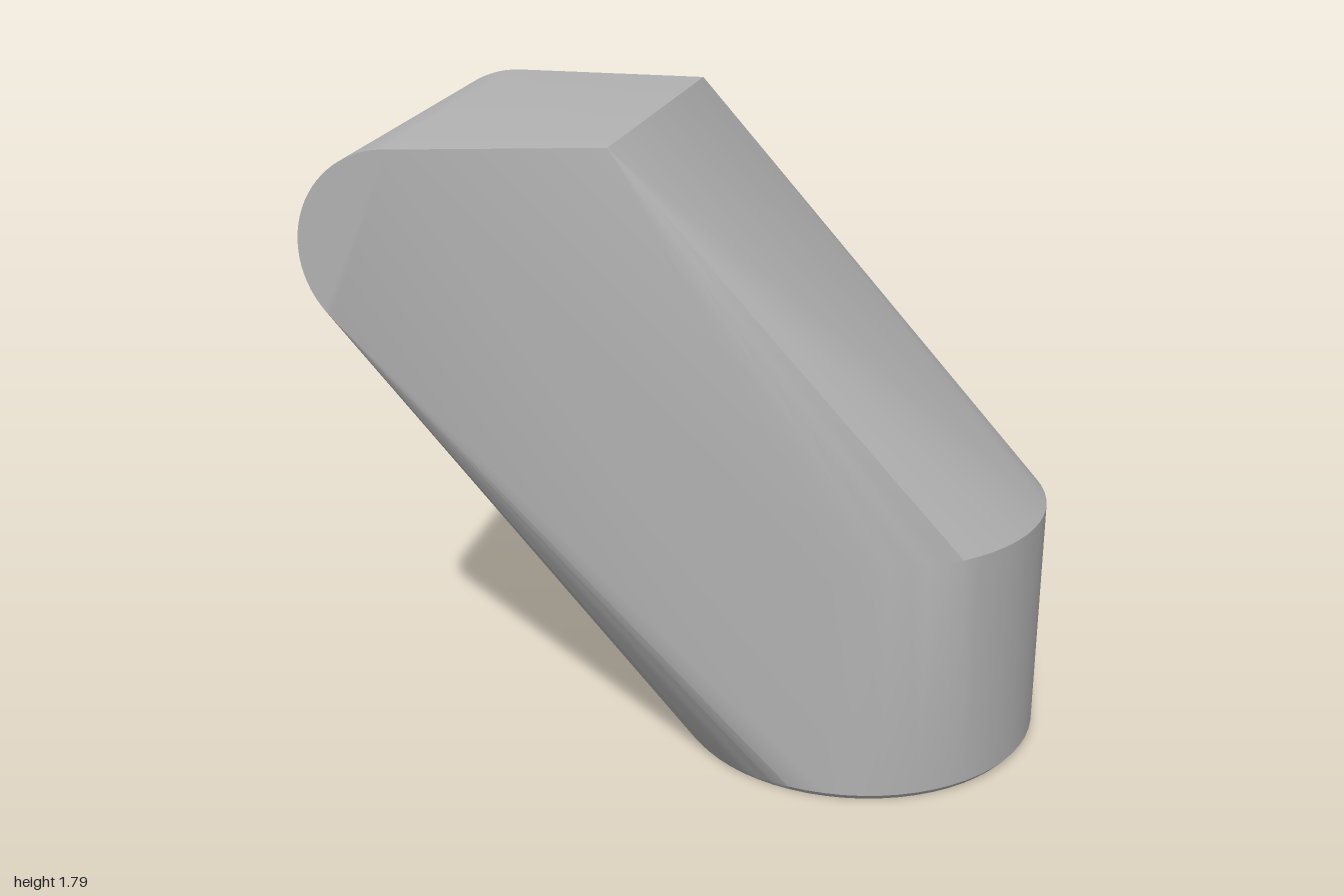
import * as THREE from 'three';
import { toCreasedNormals } from 'three/addons/utils/BufferGeometryUtils.js';
import { ConvexGeometry } from 'three/addons/geometries/ConvexGeometry.js';

const points = [];

// Horizontal ring around the upright foot
function footRing(y, r, n = 64) {
  for (let i = 0; i < n; i++) {
    const a = (i / n) * Math.PI * 2;
    points.push(new THREE.Vector3(0.47 + r * Math.cos(a), y, -0.005 + r * Math.sin(a)));
  }
}

// Arc of the rounded head, from its top round to its underside
function headArc(z, r, n = 28) {
  for (let i = 0; i <= n; i++) {
    const a = Math.PI * (0.5 + (0.75 * i) / n);
    points.push(new THREE.Vector3(-0.7 + r * Math.cos(a), 1.49 + r * Math.sin(a), z));
  }
}

export function createModel() {
  const group = new THREE.Group();
  group.name = 'slantedBlock';
  points.length = 0;

  // Foot: chamfered base and upper rim
  footRing(0, 0.515);
  footRing(0.018, 0.53);
  footRing(0.708, 0.53);

  // Head: slightly tapered towards the front
  headArc(-0.52, 0.3);
  headArc(0.535, 0.27);

  // Top ridge corners
  for (const z of [-0.52, 0.52]) points.push(new THREE.Vector3(-0.12, 1.79, z));

  const material = new THREE.MeshStandardMaterial({ color: 0xb0b0b0 });
  material.name = 'plainGrey';

  // Skin stretched over foot and head, smooth except at sharp edges
  const body = new THREE.Mesh(toCreasedNormals(new ConvexGeometry(points), Math.PI / 7), material);
  body.name = 'body';
  group.add(body);
  return group;
}
